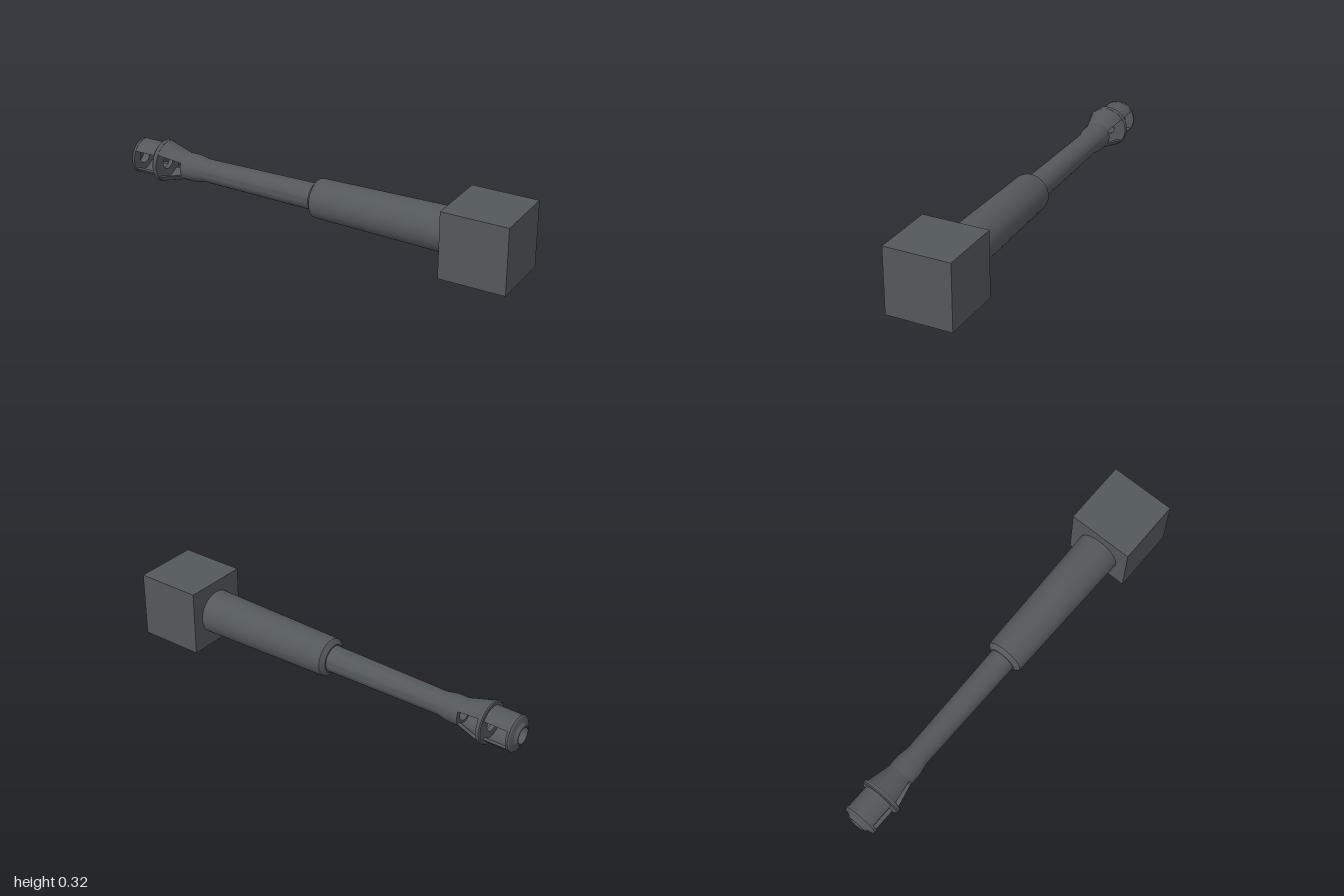
import * as THREE from 'three';
import { toCreasedNormals } from 'three/addons/utils/BufferGeometryUtils.js';

const AXIS = 0.158; // height of the barrel's axis
const BORE = 0.038;

// Turned part along x; profile is a list of [x, radius]
function turned(profile) {
  const points = profile.map(([x, r]) => new THREE.Vector2(r, x));
  const geometry = new THREE.LatheGeometry(points, 40);
  geometry.rotateZ(-Math.PI / 2);
  return toCreasedNormals(geometry, 0.4);
}

// Upper half of a tube wall with flat-sided windows; stations are [x, outer radius, inner radius, window half-height]
function windowedWall(stations) {
  const steps = 18;
  const positions = [];
  const index = [];
  const count = 2 * (steps + 1);
  for (const [x, outer, inner, h] of stations) {
    for (const [r, reverse] of [[outer, false], [inner, true]]) {
      const start = Math.asin(h / r);
      for (let i = 0; i <= steps; i++) {
        const t = (reverse ? steps - i : i) / steps;
        const a = start + (Math.PI - 2 * start) * t;
        positions.push(x, r * Math.sin(a), r * Math.cos(a));
      }
    }
  }
  for (let s = 0; s < stations.length - 1; s++) {
    for (let i = 0; i < count; i++) {
      const p = s * count + i;
      const pn = s * count + (i + 1) % count;
      index.push(p, p + count, pn + count, p, pn + count, pn);
    }
  }
  const geometry = new THREE.BufferGeometry();
  geometry.setAttribute('position', new THREE.Float32BufferAttribute(positions, 3));
  geometry.setIndex(index);
  return toCreasedNormals(geometry, 0.4);
}

export function createModel() {
  const group = new THREE.Group();
  const gunmetal = new THREE.MeshStandardMaterial({ color: 0x53585b });
  gunmetal.name = 'gunmetal';

  const add = (name, geometry) => {
    const mesh = new THREE.Mesh(geometry, gunmetal);
    mesh.name = name;
    mesh.position.y = AXIS;
    group.add(mesh);
    return mesh;
  };

  // Square mount at the rear
  const mount = add('mount', new THREE.BoxGeometry(0.315, 0.316, 0.316));
  mount.position.x = 0.8425;

  // Thick tapered sleeve with a chamfered front
  add('sleeve', turned([[-0.012, 0.05], [-0.012, 0.068], [0.006, 0.09], [0.02, 0.092], [0.69, 0.104]]));

  // Slim barrel with a collar and a blind bore
  add('barrel', turned([
    [-0.6, 0], [-0.6, BORE], [-0.712, BORE], [-0.712, 0.065],
    [-0.65, 0.065], [-0.6, 0.055], [0, 0.062],
  ]));

  // Muzzle brake: ring between the two chambers
  add('middleRing', turned([
    [-0.826, BORE], [-0.848, BORE], [-0.848, 0.096], [-0.843, 0.101],
    [-0.832, 0.101], [-0.826, 0.098], [-0.826, BORE],
  ]));

  // Muzzle brake: end cap with a stepped nose
  add('endCap', turned([
    [-0.963, BORE], [-1, BORE], [-1, 0.043], [-0.987, 0.056],
    [-0.98, 0.079], [-0.974, 0.084], [-0.963, 0.084], [-0.963, BORE],
  ]));

  // Muzzle brake: open-sided walls above and below the bore
  const cone = windowedWall([[-0.83, 0.098, 0.082, 0.057], [-0.71, 0.065, 0.05, 0.032]]);
  const drum = windowedWall([[-0.965, 0.083, 0.068, 0.045], [-0.846, 0.083, 0.068, 0.045]]);
  for (const [side, turn] of [['upper', 0], ['lower', Math.PI]]) {
    add(side + 'ConeWall', cone).rotation.x = turn;
    add(side + 'DrumWall', drum).rotation.x = turn;
  }
  return group;
}
